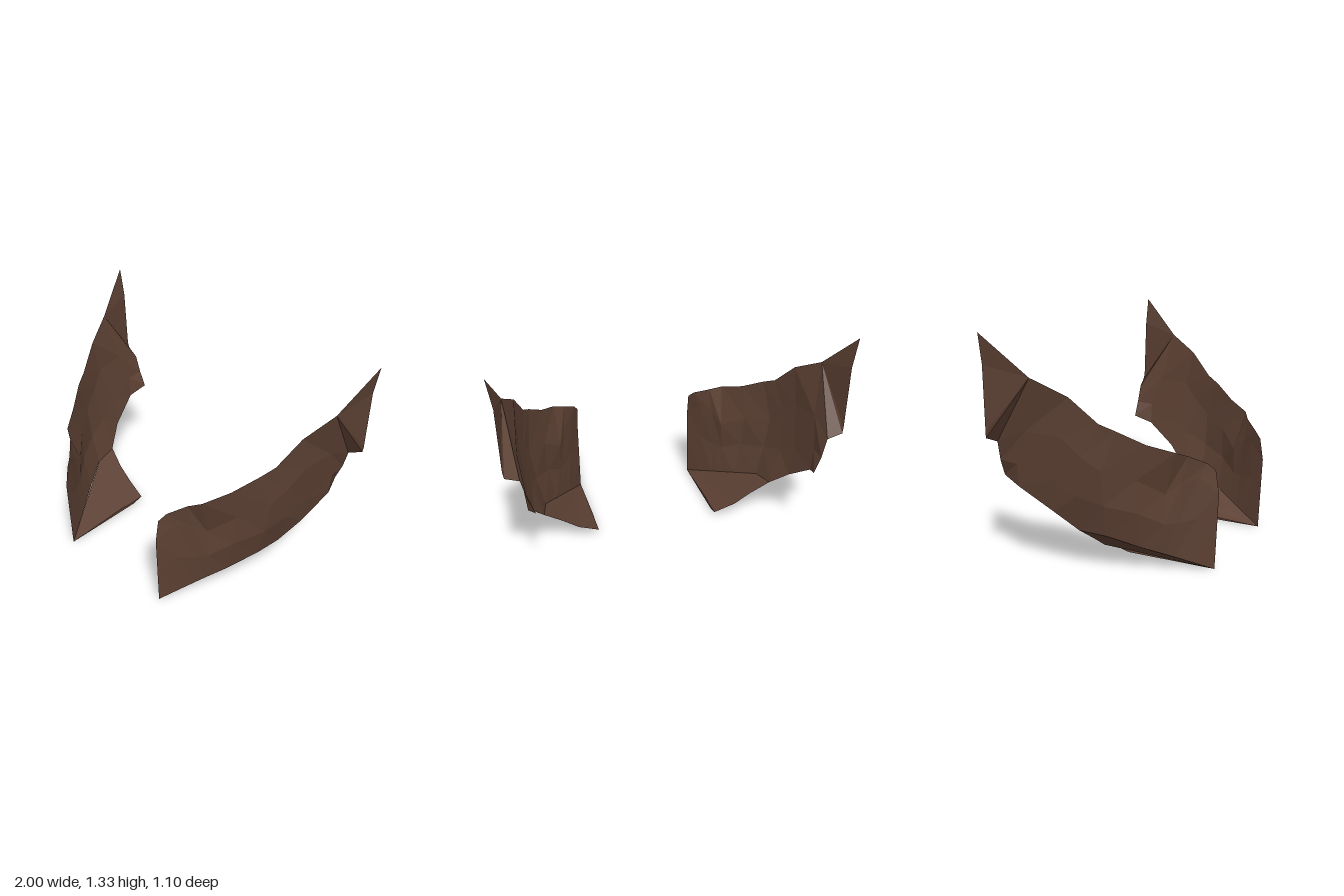
import * as THREE from 'three';

const brown = new THREE.MeshStandardMaterial({ color: 0x5c4033, side: THREE.DoubleSide, flatShading: true });
brown.name = 'dark brown';

// Side panel sections from front to back, each running bottom to top as [x, y, z]
const sections = [
  [[0.375, 0, 0.53], [0.375, 0.22, 0.54], [0.375, 0.44, 0.55], [0.375, 0.57, 0.53]],
  [[0.44, 0.045, 0.42], [0.44, 0.3, 0.445], [0.43, 0.53, 0.455], [0.4, 0.61, 0.49]],
  [[0.49, 0.08, 0.34], [0.5, 0.28, 0.36], [0.49, 0.51, 0.38], [0.48, 0.66, 0.41]],
  [[0.52, 0.1, 0.29], [0.54, 0.28, 0.3], [0.53, 0.45, 0.3], [0.55, 0.69, 0.37]],
  [[0.59, 0.145, 0.18], [0.63, 0.35, 0.19], [0.645, 0.54, 0.18], [0.64, 0.74, 0.24]],
  [[0.68, 0.215, 0.02], [0.725, 0.4, 0.03], [0.755, 0.6, 0.03], [0.73, 0.82, 0.11]],
  [[0.71, 0.235, -0.13], [0.77, 0.45, -0.11], [0.795, 0.68, -0.07], [0.77, 0.86, 0.03]],
  [[0.78, 0.35, -0.25], [0.81, 0.53, -0.24], [0.83, 0.78, -0.16], [0.83, 1.0, -0.11]],
  [[0.83, 0.48, -0.43], [0.845, 0.61, -0.43], [0.86, 0.8, -0.36], [0.91, 1.1, -0.29]],
  [[0.8, 0.525, -0.54], [0.84, 0.62, -0.537], [0.87, 0.73, -0.53], [0.87, 0.73, -0.53]],
];

// Inner outline of the floor flap, fanned from the front bottom corner
const floor = [
  [0.375, 0, 0.53], [0.375, 0.03, 0.09], [0.375, 0.01, 0], [0.375, 0.03, -0.07],
  [0.5, 0.085, -0.09], [0.6, 0.155, -0.1], [0.71, 0.235, -0.13], [0.68, 0.215, 0.02],
];
// Pointed rear fin and the narrow step joining it to the panel
const fin = [[0.91, 1.1, -0.29], [1, 1.33, -0.53], [0.97, 1.16, -0.533], [0.957, 0.8, -0.54], [0.95, 0.765, -0.545]];
const step = [[0.91, 1.1, -0.29], [0.95, 0.765, -0.545], [0.87, 0.73, -0.53]];

function fan(points) {
  const tris = [];
  for (let i = 1; i < points.length - 1; i++) tris.push([points[0], points[i], points[i + 1]]);
  return tris;
}

function loft(rows) {
  const tris = [];
  for (let i = 0; i < rows.length - 1; i++) {
    for (let j = 0; j < rows[i].length - 1; j++) {
      const a = rows[i][j], b = rows[i + 1][j], c = rows[i + 1][j + 1], d = rows[i][j + 1];
      tris.push([a, b, d], [b, c, d]);
    }
  }
  return tris;
}

// Mirrors triangles to one side, keeping the corner order consistent
function sheet(name, tris, side) {
  const flat = tris.flatMap((t) => (side > 0 ? t : [t[0], t[2], t[1]]))
    .flatMap(([x, y, z]) => [x * side, y, z]);
  const geometry = new THREE.BufferGeometry();
  geometry.setAttribute('position', new THREE.Float32BufferAttribute(flat, 3));
  geometry.computeVertexNormals();
  const mesh = new THREE.Mesh(geometry, brown);
  mesh.name = name;
  return mesh;
}

export function createModel() {
  const model = new THREE.Group();
  model.name = 'pairedSidePlates';
  for (const side of [1, -1]) {
    const plate = new THREE.Group();
    plate.name = side > 0 ? 'leftPlate' : 'rightPlate';
    plate.add(
      sheet('sidePanel', loft(sections), side),
      sheet('floorFlap', fan(floor), side),
      sheet('rearFin', fan(fin), side),
      sheet('finStep', fan(step), side),
    );
    model.add(plate);
  }
  return model;
}
